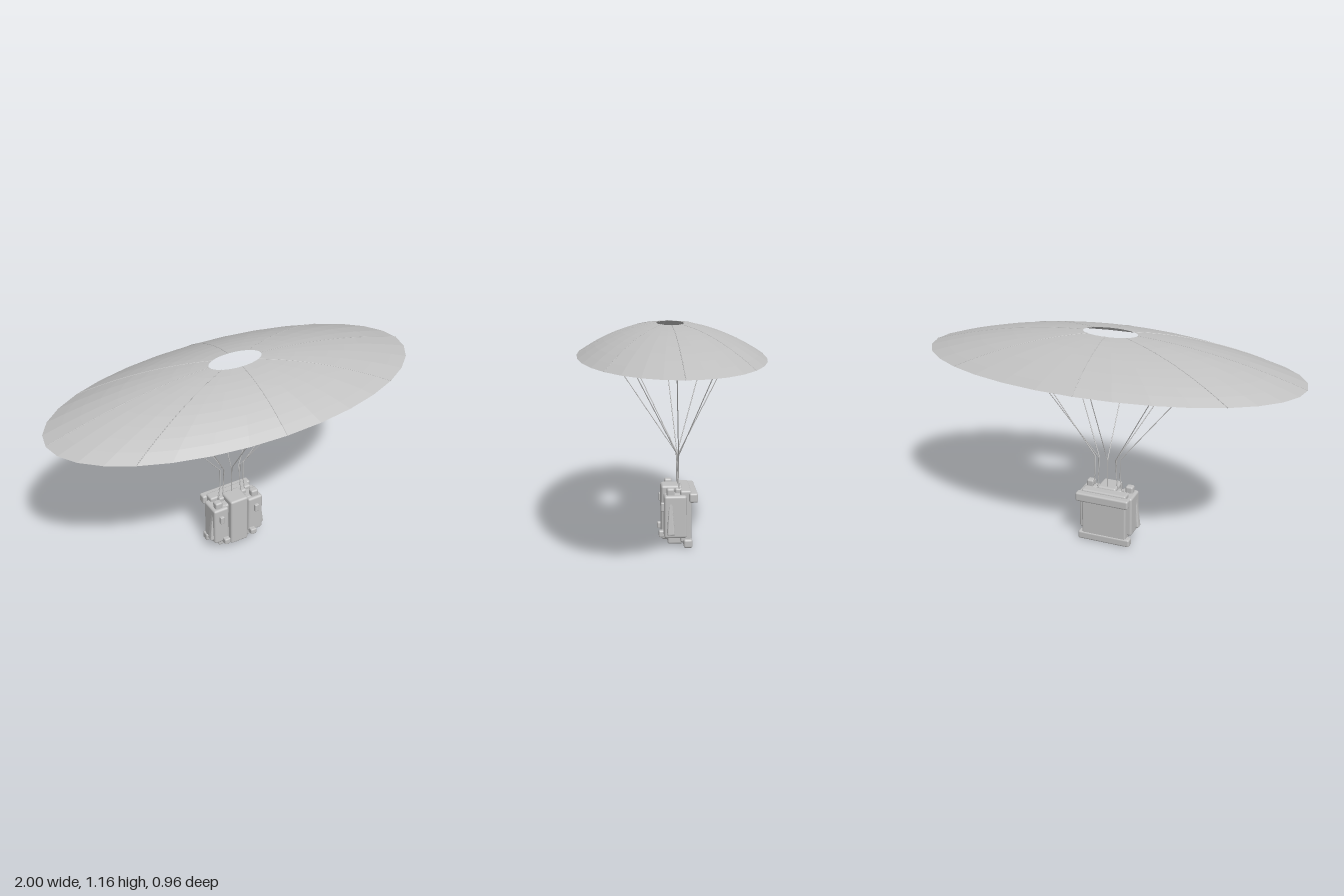
import * as THREE from 'three';
import { RoundedBoxGeometry } from 'three/addons/geometries/RoundedBoxGeometry.js';

export function createModel() {
  const group = new THREE.Group();
  const grey = new THREE.MeshStandardMaterial({ color: 0xc0c0c0 });
  grey.name = 'grey';
  const cloth = new THREE.MeshStandardMaterial({ color: 0xc0c0c0, side: THREE.DoubleSide, flatShading: true });
  cloth.name = 'grey cloth';

  const add = (name, geometry, material = grey) => {
    const mesh = new THREE.Mesh(geometry, material);
    mesh.name = name;
    group.add(mesh);
    return mesh;
  };
  // Rounded box given by its limits on each axis
  const box = (name, [x0, x1], [y0, y1], [z0, z1], r = 0.01) => {
    const size = [x1 - x0, y1 - y0, z1 - z0];
    const g = new RoundedBoxGeometry(...size, 2, Math.min(r, Math.min(...size) * 0.45));
    add(name, g.translate((x0 + x1) / 2, (y0 + y1) / 2, (z0 + z1) / 2));
  };
  // Straight cord segments joined end to end
  const cord = (name, points, r) => {
    const path = new THREE.CurvePath();
    for (let i = 1; i < points.length; i++) path.add(new THREE.LineCurve3(points[i - 1], points[i]));
    add(name, new THREE.TubeGeometry(path, (points.length - 1) * 4, r, 6, false));
  };
  const V = (x, y, z) => new THREE.Vector3(x, y, z);

  // Canopy: shallow elliptical dome with a vent at the top
  const HOLE = 0.145, DEPTH = 0.48, RINGS = 9;
  const height = (r) => 1 + 0.163 * (1 - r * r);
  const profile = [];
  for (let i = 0; i <= RINGS; i++) {
    const r = 1 + (HOLE - 1) * i / RINGS;
    profile.push(new THREE.Vector2(r, height(r)));
  }
  add('canopy', new THREE.LatheGeometry(profile, 32).scale(1, 1, DEPTH), cloth);

  // Eight seams on the canopy and eight lines below it
  for (let i = 0; i < 8; i++) {
    const a = i * Math.PI / 4, c = Math.cos(a), s = Math.sin(a);
    cord('seam', profile.map((p) => V(p.x * c, p.y, p.x * s * DEPTH)), 0.002);
    cord('suspensionLine', [
      V(0.48 * c, 1, 0.31 * s), V(0.06 * c, 0.47, -0.04), V(0.085 * c, 0.27, -0.04),
    ], 0.0025);
  }

  // Pack body
  box('packBody', [-0.115, 0.115], [0.018, 0.285], [-0.06, 0.02]);
  box('centrePouch', [-0.053, 0.053], [0.025, 0.315], [-0.06, 0.05], 0.012);
  box('backPanel', [-0.125, 0.125], [0.028, 0.305], [-0.103, -0.045]);
  box('topBar', [-0.148, 0.148], [0.245, 0.295], [-0.135, -0.09]);
  box('bottomBar', [-0.147, 0.147], [0.003, 0.048], [-0.107, -0.062]);

  // Side pouches with their fittings, mirrored
  const span = (side, a, b) => (side > 0 ? [a, b] : [-b, -a]);
  for (const side of [1, -1]) {
    box('sidePouch', span(side, 0.062, 0.15), [0.058, 0.283], [-0.077, 0.04], 0.012);
    box('pouchCap', span(side, 0.09, 0.132), [0.27, 0.318], [-0.015, 0.025]);
    box('strapAnchor', span(side, 0.053, 0.085), [0.265, 0.308], [-0.06, -0.02]);
    box('upperBuckle', span(side, 0.095, 0.12), [0.195, 0.24], [0.035, 0.055], 0.005);
    box('lowerBuckle', span(side, 0.065, 0.1), [0.05, 0.085], [0.03, 0.065], 0.007);
    box('pouchFoot', span(side, 0.07, 0.115), [0.05, 0.075], [-0.002, 0.034], 0.008);

    // Side handle tapering towards its upper end
    const handle = new RoundedBoxGeometry(0.034, 0.2, 0.042, 3, 0.01);
    const p = handle.attributes.position;
    for (let i = 0; i < p.count; i++) {
      const t = (p.getY(i) + 0.1) / 0.2;
      p.setX(i, p.getX(i) - side * 0.022 * t);
      p.setZ(i, p.getZ(i) * (1 - 0.65 * t));
    }
    handle.computeVertexNormals();
    add('sideHandle', handle.translate(side * 0.151, 0.177, 0.006));
  }
  return group;
}
